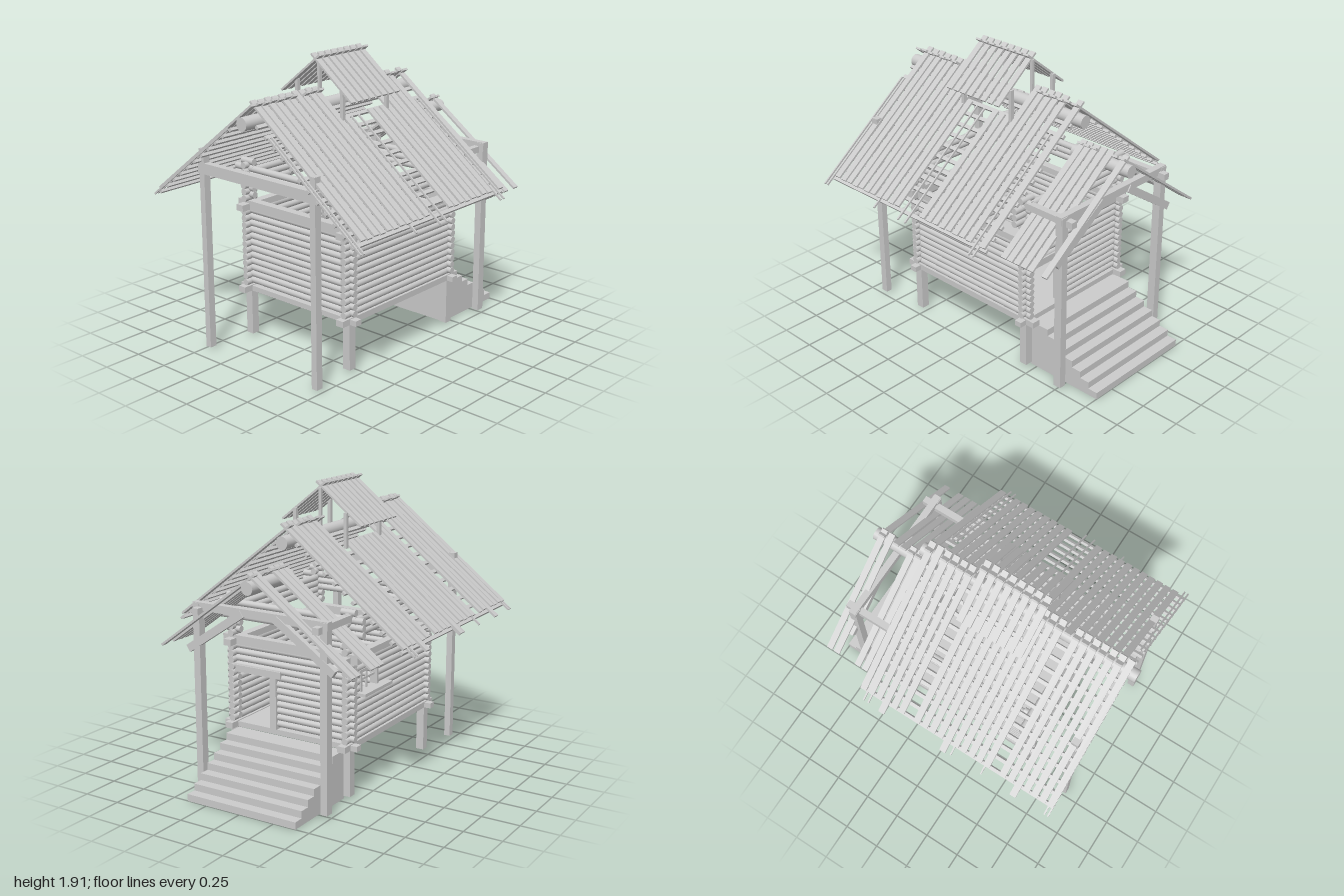
import * as THREE from 'three';

const mat = new THREE.MeshStandardMaterial({ color: 0xcccccc });

function add(parent, name, geometry, x, y, z) {
  const m = new THREE.Mesh(geometry, mat);
  m.name = name;
  m.position.set(x, y, z);
  parent.add(m);
  return m;
}

// box given by its extents on each axis
function box(parent, name, x0, x1, y0, y1, z0, z1) {
  return add(parent, name, new THREE.BoxGeometry(x1 - x0, y1 - y0, z1 - z0),
    (x0 + x1) / 2, (y0 + y1) / 2, (z0 + z1) / 2);
}

// round log along x or z
function logX(parent, name, x0, x1, y, z, r = 0.022, sides = 12) {
  const m = add(parent, name, new THREE.CylinderGeometry(r, r, x1 - x0, sides), (x0 + x1) / 2, y, z);
  m.rotation.z = Math.PI / 2;
}
function logZ(parent, name, x, y, z0, z1, r = 0.022) {
  const m = add(parent, name, new THREE.CylinderGeometry(r, r, z1 - z0, 12), x, y, (z0 + z1) / 2);
  m.rotation.x = Math.PI / 2;
}

// plank sloping in the y-z plane, from (z0, y0) to (z1, y1)
function plank(parent, name, x, w, t, z0, y0, z1, y1) {
  const m = add(parent, name, new THREE.BoxGeometry(w, t, Math.hypot(z1 - z0, y1 - y0)),
    x, (y0 + y1) / 2, (z0 + z1) / 2);
  m.rotation.x = -Math.atan2(y1 - y0, z1 - z0);
}

function section(root, name) {
  const g = new THREE.Group();
  g.name = name;
  root.add(g);
  return g;
}

const WX = [-0.545, 0.432], WZ = 0.425, PITCH = 0.0435;

function buildCabin(root) {
  const g = section(root, 'cabin');
  box(g, 'floor', -0.56, 0.45, 0.33, 0.36, -0.43, 0.43);
  for (const s of [-1, 1]) {
    const z = s * WZ;
    box(g, 'sillBeam', -0.635, 0.52, 0.325, 0.365, z - 0.028, z + 0.028);
    box(g, 'wallPlate', -0.635, 0.52, 0.88, 0.922, z - 0.028, z + 0.028);
    for (let i = 0; i < 3; i++) logX(g, 'upperLog', -0.6, 0.48, 1.04 + i * PITCH, z);
  }
  for (const x of WX) {
    box(g, 'crossSill', x - 0.025, x + 0.025, 0.325, 0.36, -0.5, 0.5);
    box(g, 'crossPlate', x - 0.028, x + 0.028, 0.88, 0.94, -0.5, 0.5);
    for (let i = 0; i < 3; i++) logZ(g, 'upperCrossLog', x, 1.04 + (i + 0.5) * PITCH, -0.53, 0.53);
    for (const s of [-1, 1]) {
      box(g, 'foundationPost', x - 0.027, x + 0.027, 0.02, 0.34, s * WZ - 0.027, s * WZ + 0.027);
      // notched corner stacks that carry the upper logs
      for (let i = 0; i < 6; i++) {
        const y = 0.955 + i * PITCH;
        logX(g, 'cornerStub', x - 0.05, x + 0.05, y, s * WZ);
        logZ(g, 'cornerStub', x, y + PITCH / 2, s * WZ - 0.05, s * WZ + 0.05);
      }
    }
  }
  // log walls, with gaps for the window and the door
  for (let i = 0; i < 12; i++) {
    const y = 0.385 + i * PITCH, ySide = y + 0.01;
    logX(g, 'frontLog', -0.6, 0.482, y, WZ);
    if (y > 0.67 && y < 0.8) {
      logX(g, 'backLog', -0.6, 0.12, y, -WZ);
      logX(g, 'backLog', 0.32, 0.482, y, -WZ);
    } else logX(g, 'backLog', -0.6, 0.482, y, -WZ);
    logZ(g, 'leftEndLog', WX[0], ySide, -0.475, 0.475);
    if (ySide < 0.7) {
      logZ(g, 'doorWallLog', WX[1], ySide, -0.475, 0.1);
      logZ(g, 'doorWallLog', WX[1], ySide, 0.395, 0.475);
    } else logZ(g, 'doorWallLog', WX[1], ySide, -0.475, 0.475);
  }
  // door and window frames
  box(g, 'doorJamb', 0.4, 0.465, 0.36, 0.71, 0.093, 0.14);
  box(g, 'doorLintel', 0.4, 0.465, 0.7, 0.745, 0.06, 0.41);
  box(g, 'windowSill', 0.02, 0.36, 0.65, 0.67, -0.5, -0.4);
  for (const x of [0.12, 0.32]) box(g, 'windowJamb', x - 0.01, x + 0.01, 0.67, 0.8, -0.45, -0.4);
  box(g, 'windowLintel', 0.1, 0.34, 0.79, 0.81, -0.45, -0.4);
  box(g, 'windowBar', 0.214, 0.226, 0.67, 0.8, -0.43, -0.42);
  box(g, 'windowBar', 0.12, 0.32, 0.73, 0.742, -0.43, -0.42);
}

function buildStairs(root) {
  const shape = new THREE.Shape();
  shape.moveTo(0.45, 0);
  shape.lineTo(1, 0);
  const n = 7, run = 0.0685, rise = 0.0457;
  for (let i = 0; i < n; i++) {
    shape.lineTo(1 - i * run, (i + 1) * rise);
    shape.lineTo(1 - (i + 1) * run, (i + 1) * rise);
  }
  shape.lineTo(0.45, n * rise);
  add(root, 'stairs', new THREE.ExtrudeGeometry(shape, { depth: 0.8, bevelEnabled: false }), 0, 0, -0.405);
}

function buildMainRoof(root) {
  const g = section(root, 'mainRoof');
  const roofY = z => 1.655 - 0.775 * Math.abs(z);
  logX(g, 'ridgeLog', -1, 0.52, 1.585, 0, 0.042, 20);
  for (const s of [-1, 1]) {
    // battens under the boards
    for (let i = 0; i < 12; i++) {
      const z = 0.08 + i * 0.066;
      const m = box(g, 'batten', -0.955, 0.48, -0.009, 0.009, -0.012, 0.012);
      m.position.set(m.position.x, roofY(z) - 0.022, s * z);
      m.rotation.x = s * 0.66;
    }
    // boards, a few missing, cut short around the vent opening
    for (let i = 0; i < 25; i++) {
      const x = -0.932 + i * 0.0578;
      const missing = s > 0 ? [0, 12, 13, 14, 23] : [7, 18];
      if (missing.includes(i)) continue;
      const vent = x > -0.35 && x < 0.09;
      const z0 = vent ? 0.17 : -0.035;
      const z1 = s < 0 && [4, 13, 21].includes(i) ? 0.88 : 0.82;
      const lift = 0.012 + 0.004 * (i % 2);
      const at = z => 1.655 - 0.775 * z + lift;
      plank(g, 'roofBoard', x, 0.043, 0.014, s * z0, at(z0), s * z1, at(z1));
    }
    // slender poles lying between the boards
    for (const x of [-0.95, -0.925, -0.46, -0.235, -0.17, 0.39, 0.425])
      plank(g, 'roofPole', x, 0.01, 0.012, s * 0.17, roofY(0.17), s * 0.87, roofY(0.87));
  }
}

function buildVentRoof(root) {
  const g = section(root, 'ventRoof');
  for (const s of [-1, 1]) {
    for (let i = 0; i < 8; i++)
      plank(g, 'ventBoard', -0.354 + i * 0.0588, 0.042, 0.013, -s * 0.035, 1.905, s * 0.293, 1.645);
    for (const x of [-0.335, 0.08])
      box(g, 'ventPost', x - 0.012, x + 0.012, 1.5, 1.725, s * 0.188 - 0.012, s * 0.188 + 0.012);
  }
  for (const x of [-0.335, 0.08]) box(g, 'ventKingPost', x - 0.01, x + 0.01, 1.6, 1.87, -0.01, 0.01);
}

function buildPorch(root) {
  const g = section(root, 'porch');
  logX(g, 'porchRidgeLog', 0.44, 0.885, 1.375, 0, 0.041, 20);
  const boards = { 1: [0.5, 0.55, 0.605, 0.66, 0.715, 0.825], '-1': [0.5, 0.55, 0.605, 0.77, 0.825] };
  for (const s of [-1, 1]) {
    for (const x of boards[s])
      plank(g, 'porchBoard', x, 0.042, 0.014, -s * 0.025, 1.452, s * 0.69, 0.925);
    box(g, 'porchPost', 0.725, 0.78, 0.02, 1.21, s * 0.463 - 0.024, s * 0.463 + 0.024);
    box(g, 'porchSideBeam', 0.41, 0.825, 1.145, 1.188, s * 0.435 - 0.022, s * 0.435 + 0.022);
    plank(g, 'porchBrace', 0.765, 0.035, 0.05, s * 0.53, 0.91, s * 0.12, 1.185);
  }
  box(g, 'porchCrossBeam', 0.73, 0.775, 1.165, 1.215, -0.49, 0.49);
}

function buildRearFrame(root) {
  const g = section(root, 'rearFrame');
  for (const s of [-1, 1])
    box(g, 'rearPost', -0.905, -0.857, 0.02, 1.34, s * 0.465 - 0.021, s * 0.465 + 0.021);
  box(g, 'rearCrossBeam', -0.905, -0.857, 1.18, 1.25, -0.5, 0.5);
}

export function createModel() {
  const root = new THREE.Group();
  root.name = 'logCabin';
  buildCabin(root);
  buildStairs(root);
  buildMainRoof(root);
  buildVentRoof(root);
  buildPorch(root);
  buildRearFrame(root);
  return root;
}
